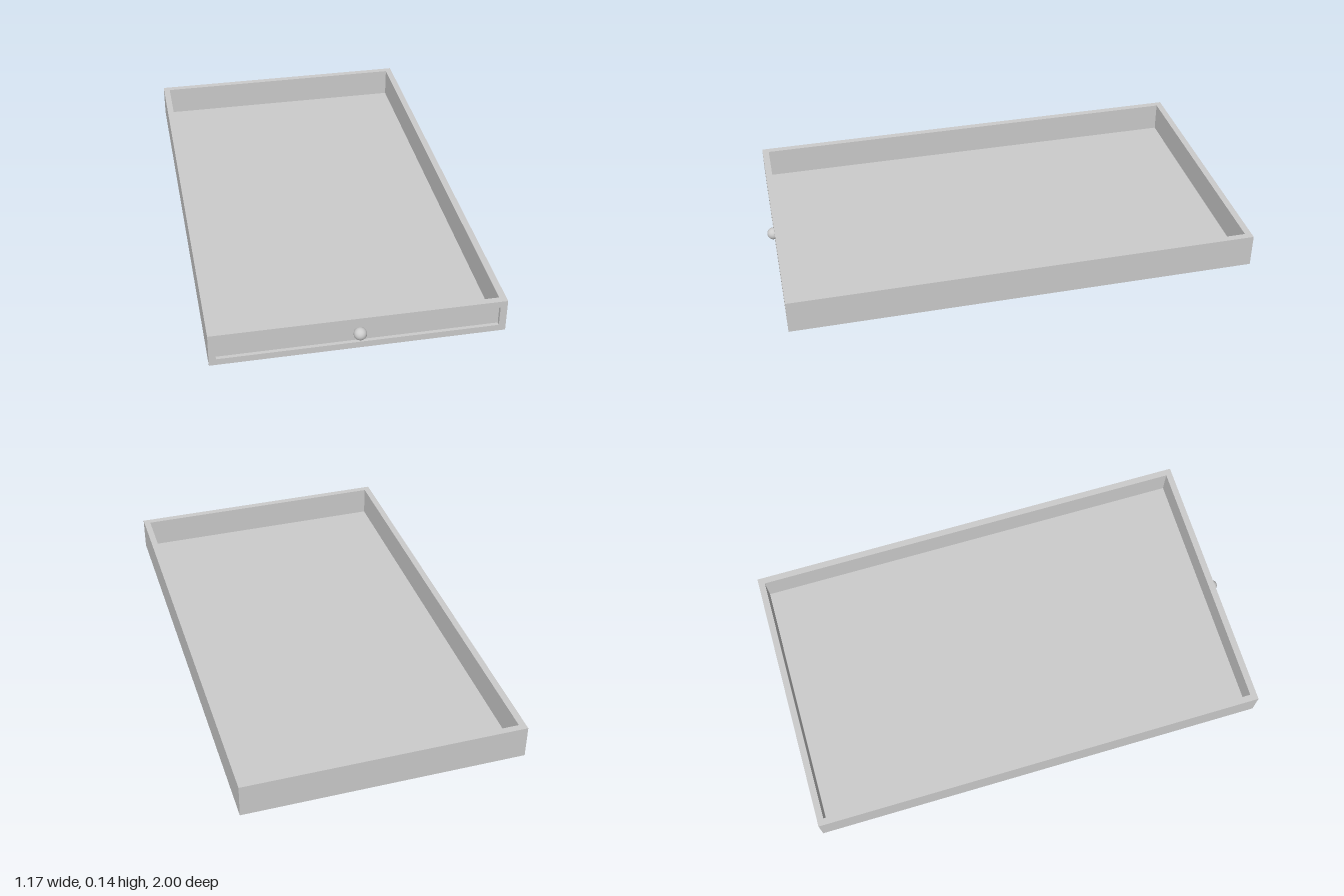
import * as THREE from 'three';

const W = 1.174, H = 0.143, BACK = -1, FRONT = 0.97; // outer size of the tray
const WALL = 0.028, FLOOR = 0.015, RECESS = 0.015, KNOB = 0.026;

// Rectangular frame with a rectangular opening, extruded along +z
function frame(w, h, border, depth) {
  const rect = (Type, a, b) => new Type([
    new THREE.Vector2(-a, -b), new THREE.Vector2(a, -b),
    new THREE.Vector2(a, b), new THREE.Vector2(-a, b),
  ]);
  const shape = rect(THREE.Shape, w / 2, h / 2);
  shape.holes.push(rect(THREE.Path, w / 2 - border, h / 2 - border));
  return new THREE.ExtrudeGeometry(shape, { depth, bevelEnabled: false });
}

export function createModel() {
  const group = new THREE.Group();
  group.name = 'drawer';
  const material = new THREE.MeshStandardMaterial({ color: 0xcccccc });
  const add = (name, geometry, x, y, z) => {
    const mesh = new THREE.Mesh(geometry, material);
    mesh.name = name;
    mesh.position.set(x, y, z);
    group.add(mesh);
    return mesh;
  };

  // Four walls in one frame; its front edge stops behind the recessed panel
  const bodyFront = FRONT - RECESS, length = bodyFront - BACK;
  const middle = (bodyFront + BACK) / 2;
  const shape = new THREE.Shape([
    new THREE.Vector2(-W / 2, -length / 2), new THREE.Vector2(W / 2, -length / 2),
    new THREE.Vector2(W / 2, length / 2), new THREE.Vector2(-W / 2, length / 2),
  ]);
  const ix = W / 2 - WALL, iBack = length / 2 - WALL, iFront = -length / 2 + WALL - RECESS;
  shape.holes.push(new THREE.Path([
    new THREE.Vector2(-ix, iFront), new THREE.Vector2(ix, iFront),
    new THREE.Vector2(ix, iBack), new THREE.Vector2(-ix, iBack),
  ]));
  const walls = new THREE.ExtrudeGeometry(shape, { depth: H, bevelEnabled: false });
  walls.rotateX(-Math.PI / 2);
  add('walls', walls, 0, 0, middle);

  // Floor panel inside the walls
  const innerLength = length - 2 * WALL + RECESS;
  add('floor', new THREE.BoxGeometry(W - 2 * WALL, FLOOR, innerLength),
    0, FLOOR / 2, BACK + WALL + innerLength / 2);

  // Raised border around the recessed front panel
  add('frontFrame', frame(W, H, WALL, RECESS), 0, H / 2, bodyFront);

  // Round pull knob
  add('knob', new THREE.SphereGeometry(KNOB, 32, 20), 0, H / 2 + 0.001, 1 - KNOB);

  return group;
}
